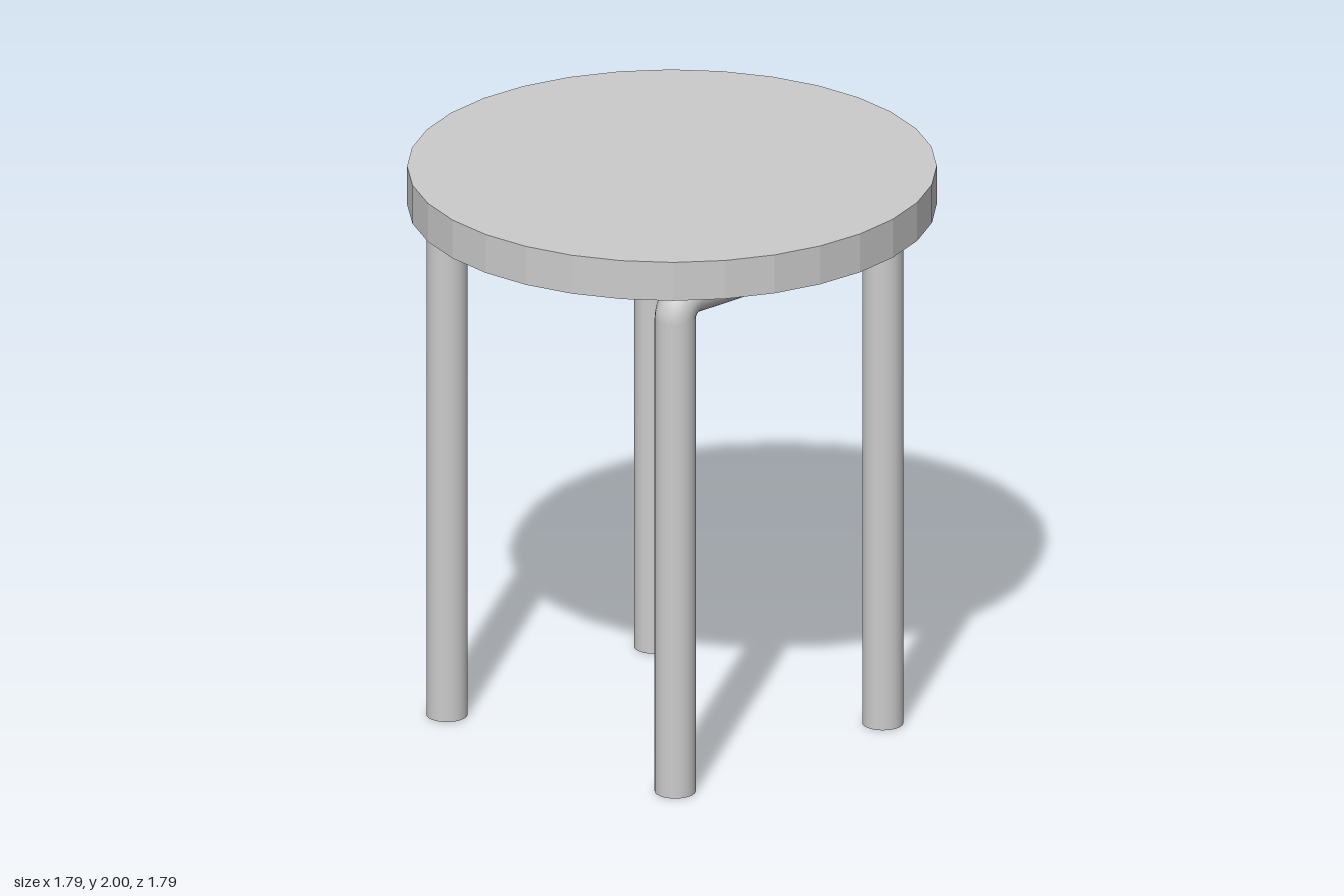
import * as THREE from 'three';

const TUBE = 0.07;   // tube radius
const BEND = 0.075;  // bend radius at the tube's centre line
const RAIL_Y = 1.8;
const SPAN = 0.95;   // distance between the two legs of one frame

function addMesh(parent, name, geometry, material) {
  const mesh = new THREE.Mesh(geometry, material);
  mesh.name = name;
  parent.add(mesh);
  return mesh;
}

// One bent-tube frame: two legs joined by a rail under the seat
function createFrame(name, material) {
  const frame = new THREE.Group();
  frame.name = name;
  const legTop = RAIL_Y - BEND;

  for (const side of [1, -1]) {
    const label = side > 0 ? 'left' : 'right';
    const leg = addMesh(frame, label + 'Leg',
      new THREE.CylinderGeometry(TUBE, TUBE, legTop, 24), material);
    leg.position.set(side * SPAN / 2, legTop / 2, 0);

    const bend = addMesh(frame, label + 'Bend',
      new THREE.TorusGeometry(BEND, TUBE, 24, 8, Math.PI / 2), material);
    bend.position.set(side * (SPAN / 2 - BEND), legTop, 0);
    if (side < 0) bend.rotation.y = Math.PI;
  }

  const rail = addMesh(frame, 'rail',
    new THREE.CylinderGeometry(TUBE, TUBE, SPAN - 2 * BEND, 24), material);
  rail.rotation.z = Math.PI / 2;
  rail.position.y = RAIL_Y;
  return frame;
}

export function createModel() {
  const model = new THREE.Group();
  model.name = 'stool';
  const smooth = new THREE.MeshStandardMaterial({ color: 0xcccccc });
  const faceted = new THREE.MeshStandardMaterial({ color: 0xcccccc, flatShading: true });

  // Faceted round seat
  const seat = addMesh(model, 'seat',
    new THREE.CylinderGeometry(0.9, 0.9, 0.14, 32, 1, false, Math.PI / 32), faceted);
  seat.position.y = 1.93;

  // The two frames are parallel, slightly turned and shifted sideways
  const frames = [['frontFrame', 0.025, 0.54], ['backFrame', -0.117, -0.505]];
  for (const [name, x, z] of frames) {
    const frame = createFrame(name, smooth);
    frame.position.set(x, 0, z);
    frame.rotation.y = 0.042;
    model.add(frame);
  }
  return model;
}
